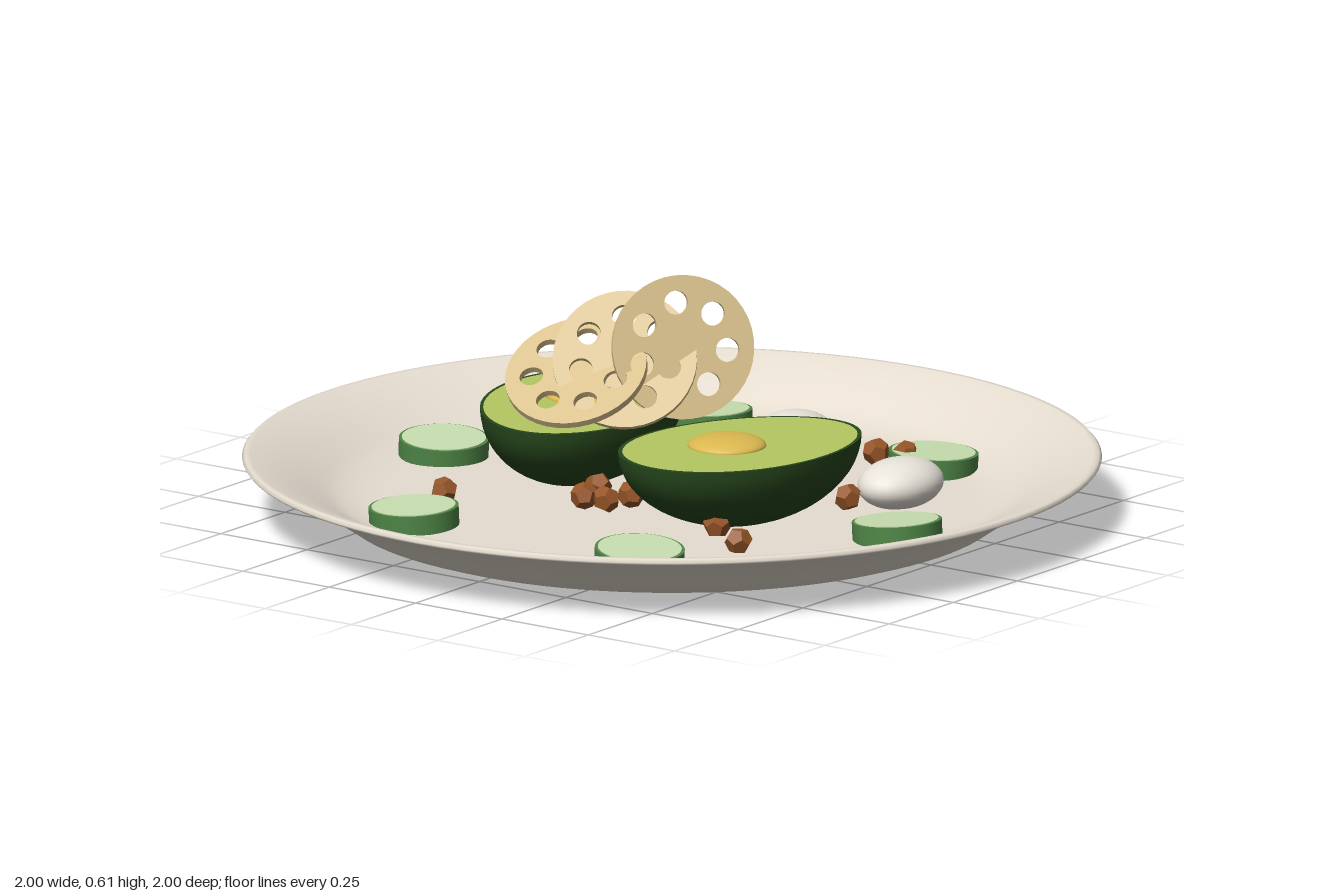
import * as THREE from 'three';

const mat = (name, color) => Object.assign(new THREE.MeshStandardMaterial({ color }), { name });

export function createModel() {
  const model = new THREE.Group();
  model.name = 'saladPlate';
  const ceramic = mat('ceramic', 0xe6ddd0);
  const skin = mat('avocado skin', 0x26461c);
  const flesh = mat('avocado flesh', 0xb4c862);
  const pitGold = mat('pit gold', 0xdbb850);
  const rind = mat('cucumber rind', 0x4e8546);
  const cucumber = mat('cucumber flesh', 0xc8deb0);
  const eggWhite = mat('egg white', 0xe8e3da);
  const nutBrown = mat('nut brown', 0x965528);
  nutBrown.flatShading = true;
  const lotusTan = mat('lotus root', 0xdac18e);

  const add = (parent, name, geometry, material, x = 0, y = 0, z = 0) => {
    const mesh = new THREE.Mesh(geometry, material);
    mesh.name = name;
    mesh.position.set(x, y, z);
    parent.add(mesh);
    return mesh;
  };

  // Plate: closed profile from the underside, round the rim, to the floor
  const profile = [
    [0, 0], [0.69, 0], [0.72, 0.003], [0.77, 0.02], [0.81, 0.048], [0.86, 0.08], [0.92, 0.11],
    [0.995, 0.14], [1, 0.146], [0.993, 0.154], [0.98, 0.154], [0.92, 0.132], [0.86, 0.104],
    [0.81, 0.076], [0.77, 0.058], [0.72, 0.05], [0.68, 0.048], [0, 0.048],
  ].map(([r, y]) => new THREE.Vector2(r, y));
  add(model, 'plate', new THREE.LatheGeometry(profile, 96), ceramic);

  // Avocado halves: the egg rule widens everything towards local +z
  const egg = (geometry) => {
    const p = geometry.attributes.position;
    for (let i = 0; i < p.count; i++) {
      const z = p.getZ(i);
      p.setXYZ(i, p.getX(i) * 0.226 * (1 + 0.09 * z), p.getY(i) * 0.187, z * 0.317);
    }
    geometry.computeVertexNormals();
    return geometry;
  };
  const bowlGeo = egg(new THREE.SphereGeometry(1, 48, 14, 0, Math.PI * 2, Math.PI / 2, Math.PI / 2));
  const edgeGeo = egg(new THREE.RingGeometry(0.965, 1, 48).rotateX(-Math.PI / 2));
  const fleshGeo = egg(new THREE.CircleGeometry(0.966, 48).rotateX(-Math.PI / 2));
  const pitGeo = new THREE.SphereGeometry(1, 28, 8, 0, Math.PI * 2, 0, Math.PI / 2).scale(0.092, 0.025, 0.092);
  for (const [name, x, z, turn] of [
    ['rightAvocado', -0.27, 0, Math.PI + 0.31],
    ['leftAvocado', 0.27, 0.09, -0.24],
  ]) {
    const half = new THREE.Group();
    half.name = name;
    half.position.set(x, 0.236, z);
    half.rotation.y = turn;
    add(half, 'avocadoSkin', bowlGeo, skin);
    add(half, 'avocadoSkinEdge', edgeGeo, skin);
    add(half, 'avocadoFlesh', fleshGeo, flesh);
    add(half, 'avocadoPit', pitGeo, pitGold, 0, 0.004, 0.046);
    model.add(half);
  }

  // Cucumber slices: rind drum with a thin pale disc on each face
  const drumGeo = new THREE.CylinderGeometry(0.105, 0.105, 0.046, 36);
  const discGeo = new THREE.CylinderGeometry(0.098, 0.098, 0.05, 36);
  for (const [x, z, tiltX, tiltZ] of [
    [-0.322, -0.572, -0.04, 0.04], [0.336, -0.566, -0.05, -0.03], [-0.655, 0.008, 0.04, -0.05],
    [0.652, 0, -0.03, 0.08], [-0.33, 0.562, 0.03, 0.03], [0.325, 0.565, 0.04, -0.08],
  ]) {
    const slice = new THREE.Group();
    slice.name = 'cucumberSlice';
    slice.position.set(x, 0.07, z);
    slice.rotation.set(tiltX, 0, tiltZ);
    add(slice, 'cucumberRind', drumGeo, rind);
    add(slice, 'cucumberFlesh', discGeo, cucumber);
    model.add(slice);
  }

  // Eggs
  const eggGeo = new THREE.SphereGeometry(1, 28, 18).scale(0.09, 0.059, 0.118);
  add(model, 'egg', eggGeo, eggWhite, 0, 0.099, -0.466);
  add(model, 'egg', eggGeo, eggWhite, 0.46, 0.097, -0.272);

  // Nuts scattered over the floor
  const nutGeo = new THREE.DodecahedronGeometry(0.033);
  [
    [0.09, -0.52], [0.22, -0.5], [0.29, -0.52], [0.08, -0.35], [-0.1, -0.31], [-0.2, -0.3],
    [0.04, -0.18], [-0.07, -0.13], [-0.01, 0.03], [0.04, 0.03], [-0.02, 0.1], [-0.37, 0.39],
    [0.46, 0.36], [-0.08, 0.235], [-0.11, 0.14], [-0.02, 0.23], [0, 0.16], [0.33, 0.27],
    [0.42, -0.12], [-0.38, -0.2],
  ].forEach(([x, z], i) => {
    add(model, 'nut', nutGeo, nutBrown, x, 0.088, z).rotation.set(i * 1.3, i * 2.1, i * 0.7);
  });

  // Lotus root slices: discs pierced by a ring of holes
  const face = new THREE.Shape().absarc(0, 0, 0.168, 0, Math.PI * 2);
  for (let i = 0; i < 7; i++) {
    const a = (i / 7) * Math.PI * 2;
    face.holes.push(new THREE.Path().absarc(Math.cos(a) * 0.105, Math.sin(a) * 0.105, 0.028, 0, Math.PI * 2, true));
  }
  const lotusGeo = new THREE.ExtrudeGeometry(face, { depth: 0.016, bevelEnabled: false, curveSegments: 20 });
  lotusGeo.translate(0, 0, -0.008);
  for (const [position, normal] of [
    [[-0.078, 0.39, 0.268], [0.15, 0.83, 0.53]],
    [[0.012, 0.42, 0.2], [0.47, 0.55, 0.69]],
    [[0.118, 0.45, 0.117], [0.72, 0.24, 0.65]],
  ]) {
    const slice = add(model, 'lotusSlice', lotusGeo, lotusTan, ...position);
    slice.quaternion.setFromUnitVectors(new THREE.Vector3(0, 0, 1), new THREE.Vector3(...normal).normalize());
  }
  return model;
}
